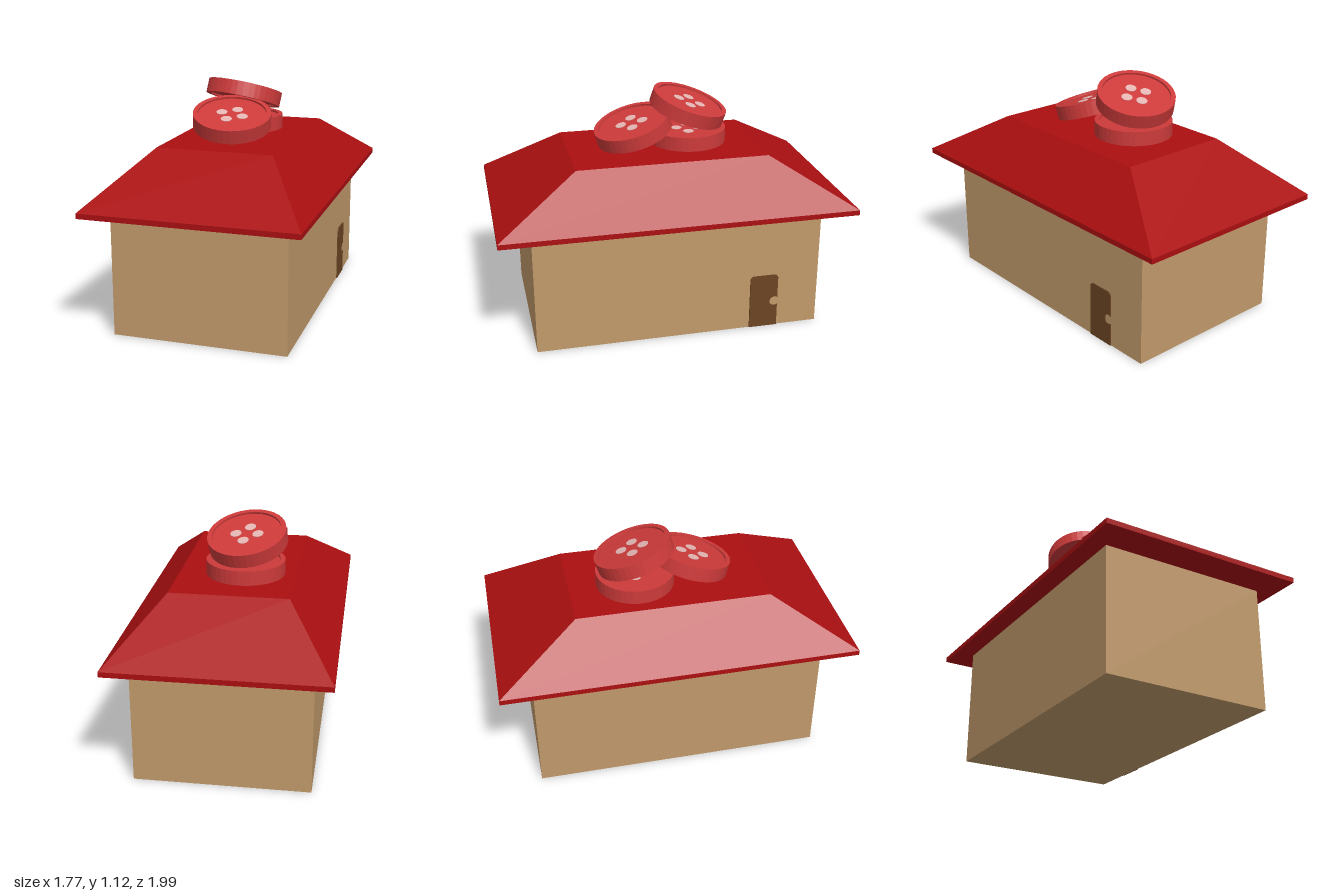
import * as THREE from 'three';

const mat = (name, color) => {
  const m = new THREE.MeshStandardMaterial({ color, flatShading: true });
  m.name = name;
  return m;
};

export function createModel() {
  const tan = mat('tan wall', 0xc19a6b);
  const red = mat('roof red', 0xab0f11);
  const brown = mat('door brown', 0x6b4423);
  const buttonRed = mat('button red', 0xcd3a3a);
  const pink = mat('hole pink', 0xe3b5b2);

  const model = new THREE.Group();
  model.name = 'buttonHouse';
  const add = (parent, name, geometry, material, x = 0, y = 0, z = 0) => {
    const mesh = new THREE.Mesh(geometry, material);
    mesh.name = name;
    mesh.position.set(x, y, z);
    parent.add(mesh);
    return mesh;
  };

  // House, turned on its base
  const house = new THREE.Group();
  house.name = 'house';
  house.rotation.y = -0.557;
  model.add(house);
  add(house, 'walls', new THREE.BoxGeometry(0.835, 0.6, 1.4), tan, 0, 0.3, 0);
  add(house, 'eaves', new THREE.BoxGeometry(1.02, 0.025, 1.713), red, 0, 0.6125, 0);

  // Hipped roof with a flat top: a box whose top is drawn in
  const roof = new THREE.BoxGeometry(1.02, 0.23, 1.713);
  const p = roof.attributes.position;
  for (let i = 0; i < p.count; i++) {
    if (p.getY(i) > 0) {
      p.setX(i, Math.sign(p.getX(i)) * 0.28);
      p.setZ(i, Math.sign(p.getZ(i)) * 0.467);
    }
  }
  roof.computeVertexNormals();
  add(house, 'roof', roof, red, 0, 0.74, 0);

  // Door plate with rounded top and a round notch for the knob
  const w = 0.071, h = 0.28, r = 0.02;
  const s = new THREE.Shape();
  s.moveTo(-w, 0);
  s.lineTo(w, 0);
  s.lineTo(w, 0.115);
  s.absarc(w - 0.015, 0.135, 0.025, -0.93, 0.93, true);
  s.lineTo(w, h - r);
  s.absarc(w - r, h - r, r, 0, Math.PI / 2, false);
  s.absarc(-w + r, h - r, r, Math.PI / 2, Math.PI, false);
  s.closePath();
  const doorGeo = new THREE.ExtrudeGeometry(s, { depth: 0.005, bevelEnabled: false, curveSegments: 10 });
  add(house, 'door', doorGeo, brown, 0.4175, 0, -0.424).rotation.y = Math.PI / 2;

  // Buttons: rimmed discs with four pale holes
  const profile = [[0, -0.025], [0.167, -0.025], [0.167, -0.035], [0.19, -0.035],
    [0.19, 0.035], [0.167, 0.035], [0.167, 0.025], [0, 0.025]]
    .map(([x, y]) => new THREE.Vector2(x, y));
  const discGeo = new THREE.LatheGeometry(profile, 40);
  const holeGeo = new THREE.CylinderGeometry(0.027, 0.027, 0.004, 16);
  const up = new THREE.Vector3(0, 1, 0);
  const addButton = (name, position, normal) => {
    const button = new THREE.Group();
    button.name = name;
    button.position.set(...position);
    button.quaternion.setFromUnitVectors(up, new THREE.Vector3(...normal).normalize());
    add(button, 'disc', discGeo, buttonRed);
    const holes = new THREE.Group();
    holes.name = 'holes';
    holes.rotation.y = 0.05;
    for (const x of [-0.04, 0.04]) {
      for (const z of [-0.037, 0.037]) add(holes, 'hole', holeGeo, pink, x, 0.025, z);
    }
    button.add(holes);
    model.add(button);
  };
  addButton('bottomButton', [0.045, 0.89, -0.14], [0, 1, 0]);
  addButton('leaningButton', [-0.088, 0.945, 0.108], [-0.08, 1, 0.3]);
  addButton('topButton', [0.04, 1.028, -0.148], [0.28, 1, -0.2]);

  return model;
}
